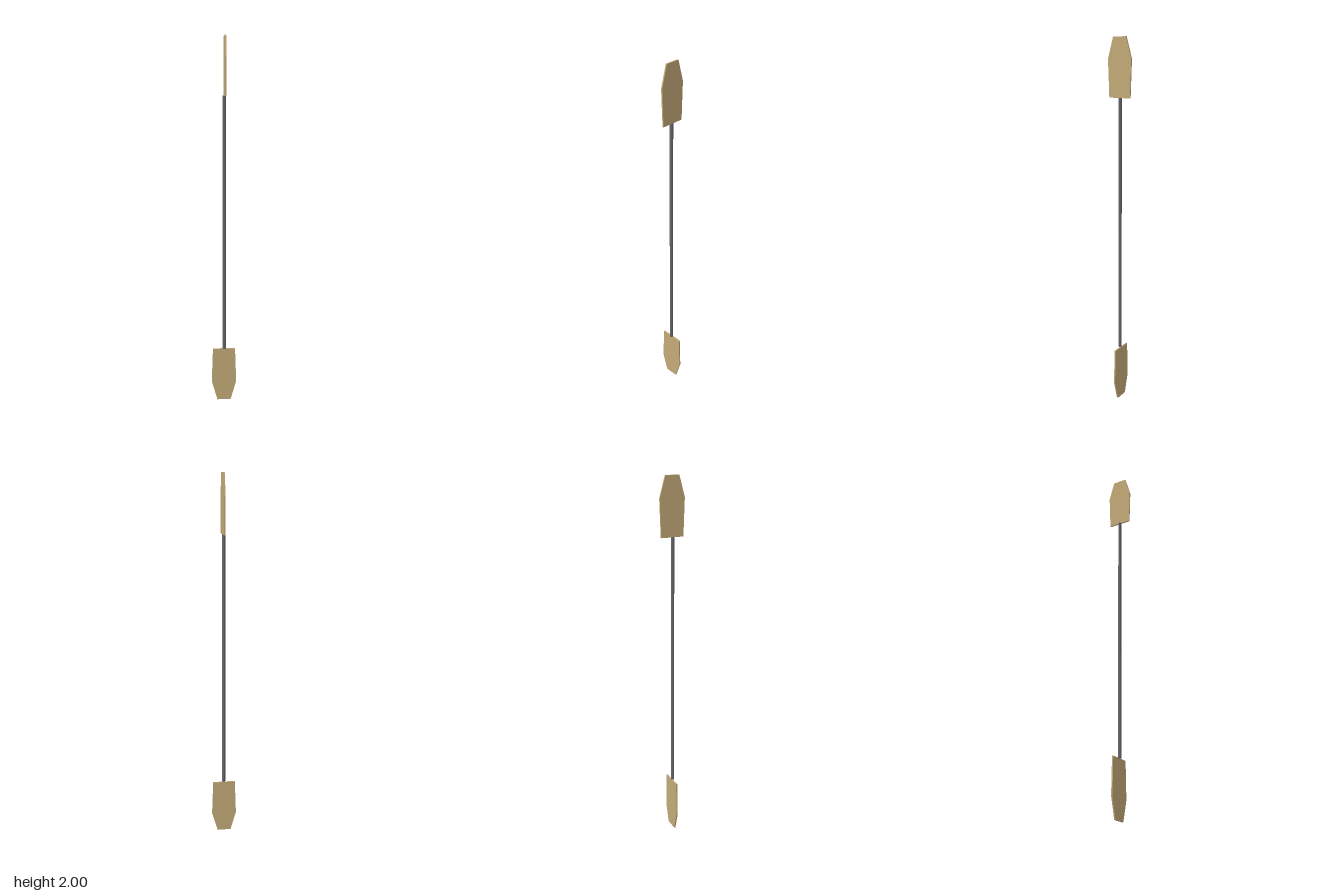
import * as THREE from 'three';

export function createModel() {
  const model = new THREE.Group();
  const wood = new THREE.MeshStandardMaterial({ color: 0xc4aa78, flatShading: true });
  const dark = new THREE.MeshStandardMaterial({ color: 0x66666e, flatShading: true });

  // shaft between the two blades
  const shaft = new THREE.Mesh(new THREE.CylinderGeometry(0.009, 0.009, 1.392, 8), dark);
  shaft.name = 'shaft';
  shaft.position.y = 1.001;
  model.add(shaft);

  // thin tapered blade, root at y = 0 and tip at y = 0.304
  const outline = [
    [-0.062, 0], [0.062, 0], [0.069, 0.195],
    [0.038, 0.304], [-0.038, 0.304], [-0.069, 0.195],
  ].map(([x, y]) => new THREE.Vector2(x, y));
  const bladeGeometry = new THREE.ExtrudeGeometry(new THREE.Shape(outline), {
    depth: 0.0075, bevelEnabled: false,
  });

  // upper blade lies in the yz plane
  const upperBlade = new THREE.Mesh(bladeGeometry, wood);
  upperBlade.name = 'upperBlade';
  upperBlade.rotation.y = Math.PI / 2;
  upperBlade.position.set(0, 1.696, -0.001);
  model.add(upperBlade);

  // lower blade is feathered a quarter turn and points down
  const lowerBlade = new THREE.Mesh(bladeGeometry, wood);
  lowerBlade.name = 'lowerBlade';
  lowerBlade.rotation.x = Math.PI;
  lowerBlade.position.set(-0.001, 0.304, -0.001);
  model.add(lowerBlade);

  return model;
}
